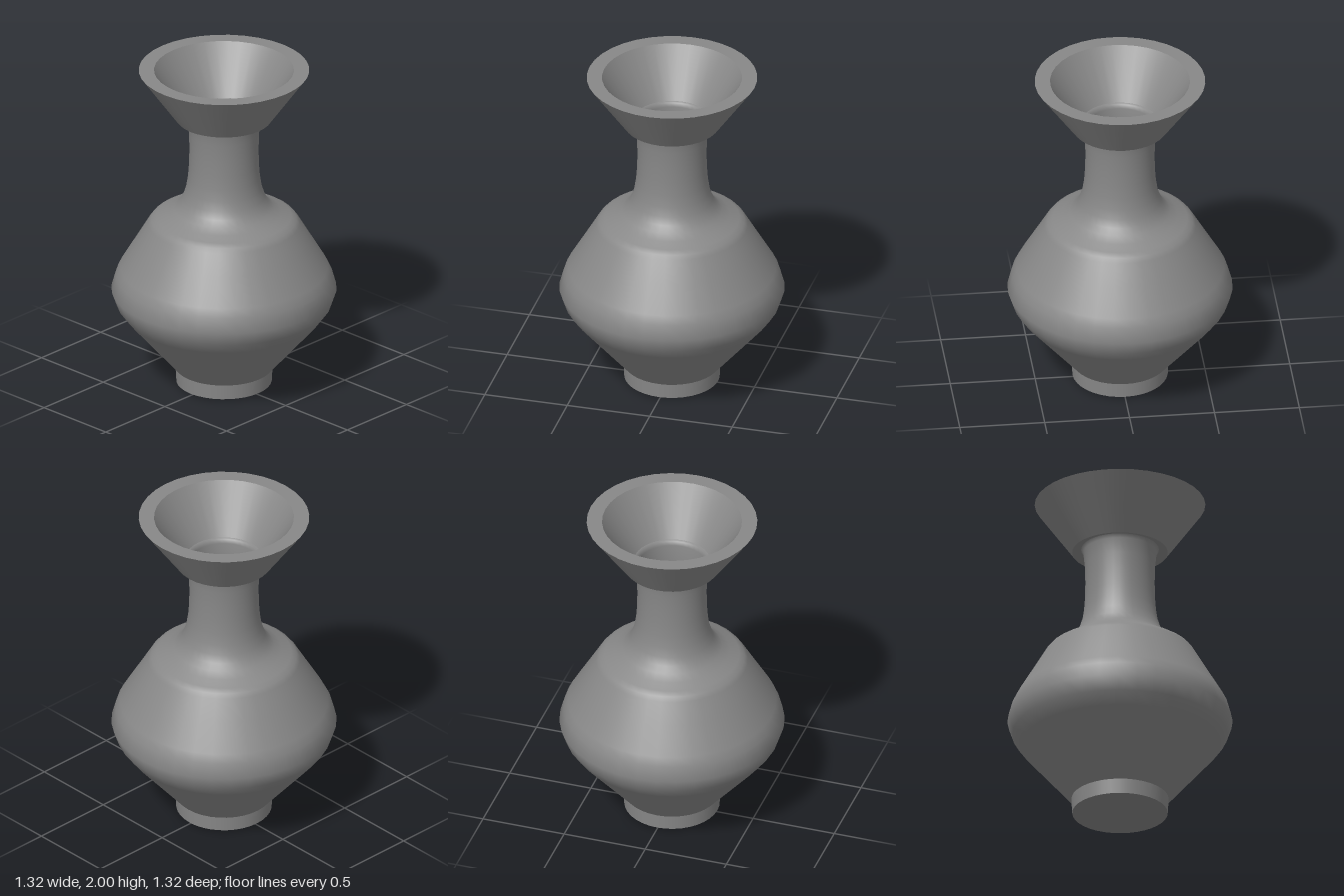
import * as THREE from 'three';

const SEGMENTS = 36;
const material = new THREE.MeshStandardMaterial({ color: 0x888888, side: THREE.DoubleSide });

// Revolves [radius, height] points; each part is smooth, with sharp edges between parts
function turned(name, profile) {
  const points = profile.map(([r, y]) => new THREE.Vector2(r, y));
  const mesh = new THREE.Mesh(new THREE.LatheGeometry(points, SEGMENTS), material);
  mesh.name = name;
  return mesh;
}

export function createModel() {
  const vase = new THREE.Group();
  vase.name = 'vase';
  vase.add(
    // Foot
    turned('footBase', [[0, 0], [0.18, 0], [0.24, 0.008], [0.28, 0.01]]),
    turned('footBand', [[0.28, 0.01], [0.285, 0.1]]),

    // Belly, shoulder and neck
    turned('bodyAndNeck', [
      [0.285, 0.1], [0.577, 0.44], [0.63, 0.513], [0.66, 0.6], [0.635, 0.69],
      [0.61, 0.74], [0.515, 0.9], [0.445, 1.02], [0.425, 1.045], [0.395, 1.064],
      [0.34, 1.088], [0.295, 1.118], [0.262, 1.15], [0.24, 1.195], [0.222, 1.25],
      [0.211, 1.32], [0.205, 1.4], [0.203, 1.5], [0.206, 1.6], [0.215, 1.69], [0.228, 1.71],
    ]),

    // Flared mouth with a slightly recessed underside
    turned('mouthUnderside', [[0.228, 1.71], [0.28, 1.692]]),
    turned('mouthOuterWall', [[0.28, 1.692], [0.5, 2]]),
    turned('rim', [[0.5, 2], [0.41, 2]]),
    turned('mouthInnerWall', [[0.41, 2], [0.225, 1.718]]),

    // Rounded lip where the mouth drops into the neck, then the hollow inside
    turned('innerWall', [
      [0.225, 1.718], [0.212, 1.712], [0.203, 1.69], [0.194, 1.6], [0.191, 1.5],
      [0.192, 1.4], [0.198, 1.32], [0.21, 1.24], [0.226, 1.18], [0.25, 1.13],
      [0.285, 1.095], [0.335, 1.063], [0.38, 1.04], [0.41, 1.01], [0.48, 0.89],
      [0.6, 0.69], [0.62, 0.6], [0.59, 0.52], [0.26, 0.12],
    ]),
    turned('innerFloor', [[0.26, 0.12], [0, 0.12]]),
  );
  return vase;
}
